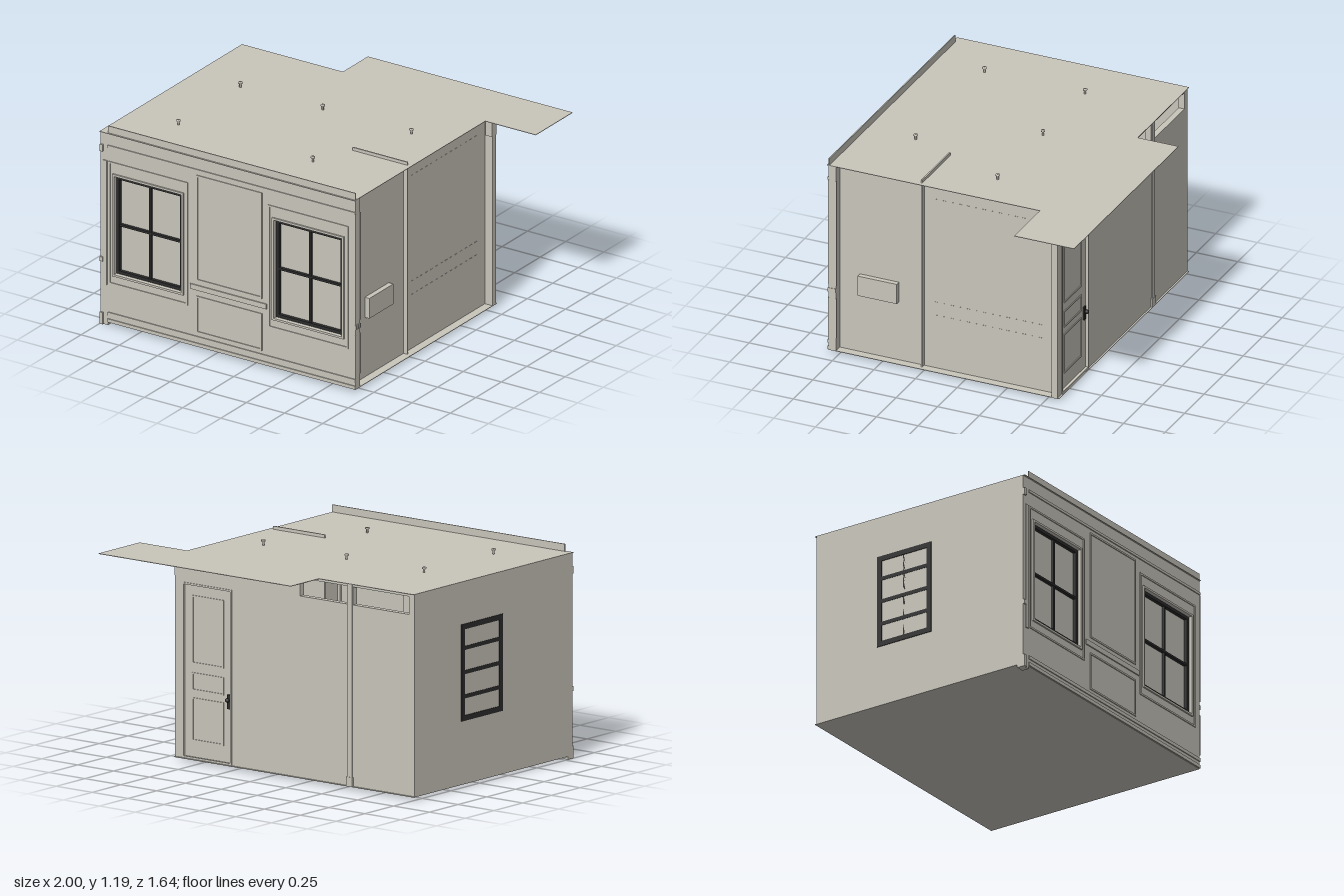
import * as THREE from 'three';

const plaster = new THREE.MeshStandardMaterial({ color: 0xc9c5bb, side: THREE.DoubleSide });
plaster.name = 'warm grey plaster';
const dark = new THREE.MeshStandardMaterial({ color: 0x2c2c2c });
dark.name = 'charcoal frame';

const ROOF = 1.147, FLOOR = 0.02;

// Box given by its minimum and maximum corners
function box(parent, name, mat, [x0, y0, z0], [x1, y1, z1]) {
  const mesh = new THREE.Mesh(new THREE.BoxGeometry(x1 - x0, y1 - y0, z1 - z0), mat);
  mesh.position.set((x0 + x1) / 2, (y0 + y1) / 2, (z0 + z1) / 2);
  mesh.name = name;
  parent.add(mesh);
  return mesh;
}

// Extruded wall in the xy plane with rectangular openings [x0, y0, x1, y1]
function wall(parent, name, [x0, y0, x1, y1], openings, z, depth) {
  const rect = (C, a, b, c, d) => {
    const p = new C();
    p.moveTo(a, b); p.lineTo(c, b); p.lineTo(c, d); p.lineTo(a, d); p.closePath();
    return p;
  };
  const shape = rect(THREE.Shape, x0, y0, x1, y1);
  openings.forEach(o => shape.holes.push(rect(THREE.Path, ...o)));
  const mesh = new THREE.Mesh(new THREE.ExtrudeGeometry(shape, { depth, bevelEnabled: false }), plaster);
  mesh.position.z = z;
  mesh.name = name;
  parent.add(mesh);
  return mesh;
}

// Four strips around the inside of a rectangle
function frame(parent, name, mat, [x0, y0, x1, y1], w, z0, z1) {
  const g = new THREE.Group();
  g.name = name;
  box(g, name + 'Bottom', mat, [x0, y0, z0], [x1, y0 + w, z1]);
  box(g, name + 'Top', mat, [x0, y1 - w, z0], [x1, y1, z1]);
  box(g, name + 'Left', mat, [x0, y0 + w, z0], [x0 + w, y1 - w, z1]);
  box(g, name + 'Right', mat, [x1 - w, y0 + w, z0], [x1, y1 - w, z1]);
  parent.add(g);
  return g;
}

// Glazed sash with a grid of bars, facing +z
function sash(parent, name, [x0, y0, x1, y1], cols, rows, border, bar, z0, z1) {
  const g = new THREE.Group();
  g.name = name;
  frame(g, 'sashFrame', dark, [x0, y0, x1, y1], border, z0, z1);
  for (let i = 1; i < cols; i++) {
    const x = x0 + (x1 - x0) * i / cols;
    box(g, 'uprightBar', dark, [x - bar / 2, y0, z0], [x + bar / 2, y1, z1 - 0.004]);
  }
  for (let j = 1; j < rows; j++) {
    const y = y0 + (y1 - y0) * j / rows;
    box(g, 'crossBar', dark, [x0, y - bar / 2, z0], [x1, y + bar / 2, z1 - 0.002]);
  }
  box(g, 'pane', plaster, [x0, y0, z0 - 0.004], [x1, y1, z0 + 0.002]);
  parent.add(g);
  return g;
}

function buildFront(model) {
  const g = new THREE.Group();
  g.name = 'frontWall';
  const windows = [[-0.905, 0.315, -0.465, 0.9], [0.14, 0.315, 0.585, 0.9]];

  // Thin facade plate rising above the roof, with a thicker wall behind
  wall(g, 'facadePlate', [-0.95, FLOOR, 0.67, 1.188], windows, 0.805, 0.006);
  wall(g, 'frontWallCore', [-0.95, FLOOR, 0.67, ROOF], windows, 0.765, 0.04);

  windows.forEach(([x0, y0, x1, y1]) => {
    sash(g, 'frontWindow', [x0 + 0.003, y0 + 0.003, x1 - 0.003, y1 - 0.003], 2, 2, 0.018, 0.013, 0.778, 0.8);
    frame(g, 'windowSurround', plaster, [x0 - 0.012, y0 - 0.012, x1 + 0.012, y1 + 0.012], 0.012, 0.811, 0.82);
    frame(g, 'outerSurround', plaster, [x0 - 0.04, 0.25, x1 + 0.04, 0.98], 0.01, 0.811, 0.816);
  });

  // Panels between the windows
  [[-0.37, 0.41, 0.06, 1.04], [-0.37, 0.1, 0.06, 0.32]].forEach(r =>
    frame(g, 'wallPanel', plaster, r, 0.01, 0.811, 0.816));

  // Horizontal mouldings
  [[1.06, 1.075], [0.06, 0.08], [FLOOR, 0.04]].forEach(([a, b]) =>
    box(g, 'moulding', plaster, [-0.95, a, 0.811], [0.67, b, 0.817]));
  box(g, 'middleRail', plaster, [-0.41, 0.355, 0.811], [0.09, 0.385, 0.818]);

  // Corner pilaster and its trim
  box(g, 'cornerPilaster', plaster, [-1, 0, 0.77], [-0.95, ROOF, 0.81]);
  box(g, 'pilasterPanel', plaster, [-0.98, 0.24, 0.81], [-0.955, 0.98, 0.816]);
  [[0, 0.07], [0.375, 0.4], [1.03, 1.07]].forEach(([a, b]) =>
    box(g, 'pilasterBand', plaster, [-1, a, 0.81], [-0.98, b, 0.82]));

  // Grooved panel edges on the return at the other corner
  [0.81, 0.765].forEach(z => [[0.1, 0.34], [0.42, 1.06]].forEach(([a, b]) =>
    box(g, 'returnBead', plaster, [0.668, a, z - 0.003], [0.673, b, z + 0.003])));
  [0.765, 0.785, 0.803].forEach(z =>
    box(g, 'returnBracket', plaster, [0.668, 0.375, z], [0.675, 0.4, z + 0.01]));
  model.add(g);
}

function buildBack(model) {
  const g = new THREE.Group();
  g.name = 'backWall';
  // Back wall with a doorway and two transom openings
  wall(g, 'backWallBody', [-1, FLOOR, 0.67, ROOF - 0.002],
    [[0.28, 0.03, 0.61, 0.99], [-0.96, 1.03, -0.57, 1.13], [-0.53, 1.03, -0.2, 1.13]], -0.565, 0.035);
  box(g, 'post', plaster, [-0.568, FLOOR, -0.573], [-0.535, ROOF - 0.002, -0.53]);
  box(g, 'postFoot', plaster, [-0.573, FLOOR, -0.576], [-0.53, 0.07, -0.565]);
  box(g, 'cornerCapital', plaster, [0.63, 1.03, -0.567], [0.672, ROOF - 0.002, -0.52]);

  // Door with raised panel borders and handle
  box(g, 'door', plaster, [0.28, 0.03, -0.552], [0.61, 0.99, -0.535]);
  [[0.12, 0.36], [0.4, 0.5], [0.55, 0.93]].forEach(([a, b]) =>
    frame(g, 'doorPanel', plaster, [0.34, a, 0.56, b], 0.008, -0.557, -0.552));
  frame(g, 'doorCasing', plaster, [0.272, 0.022, 0.618, 0.998], 0.01, -0.57, -0.56);
  box(g, 'doorHandlePlate', dark, [0.292, 0.33, -0.56], [0.312, 0.41, -0.552]);
  const knob = new THREE.Mesh(new THREE.SphereGeometry(0.012, 12, 8), dark);
  knob.position.set(0.302, 0.38, -0.57);
  knob.name = 'doorKnob';
  g.add(knob);
  model.add(g);
}

function buildSides(model) {
  const g = new THREE.Group();
  g.name = 'sideWalls';
  // Recessed wall with service box, partition and rows of small slots
  box(g, 'leftWall', plaster, [0.6, FLOOR, -0.53], [0.62, ROOF - 0.002, 0.77]);
  box(g, 'partition', plaster, [0.285, FLOOR, 0.258], [0.645, 1.165, 0.266]);
  box(g, 'serviceBox', plaster, [0.62, 0.375, 0.41], [0.65, 0.495, 0.645]);
  [0.34, 0.42, 1.05].forEach(y => {
    for (let i = 0; i < 14; i++) {
      const z = -0.45 + i * 0.048;
      box(g, 'wallSlot', plaster, [0.62, y, z], [0.622, y + 0.003, z + 0.02]);
    }
  });

  // Outer wall with a lattice window
  box(g, 'rightWall', plaster, [-1, FLOOR, -0.565], [-0.985, ROOF - 0.002, 0.77]);
  const win = sash(g, 'sideWindow', [-0.18, 0.37, 0.18, 0.91], 2, 4, 0.03, 0.022, 0, 0.006);
  win.rotation.y = -Math.PI / 2;
  win.position.set(-0.998, 0, 0.02);
  model.add(g);
}

function buildRoof(model) {
  const g = new THREE.Group();
  g.name = 'roof';
  // Thin slab with an overhang past the back corner; shape y is -z
  const outline = [[-1, 0.82], [0.67, 0.82], [0.67, -0.46], [1, -0.46], [1, -0.82],
    [-0.34, -0.82], [-0.34, -0.575], [-1, -0.575]].map(([x, z]) => new THREE.Vector2(x, -z));
  const slab = new THREE.Mesh(
    new THREE.ExtrudeGeometry(new THREE.Shape(outline), { depth: 0.003, bevelEnabled: false }), plaster);
  slab.rotation.x = -Math.PI / 2;
  slab.position.y = ROOF - 0.003;
  slab.name = 'roofSlab';
  g.add(slab);

  // Small flanged vents
  const profile = [[0, 0], [0.006, 0], [0.006, 0.018], [0.012, 0.022], [0.012, 0.03], [0, 0.03]]
    .map(p => new THREE.Vector2(...p));
  [[-0.69, -0.095], [-0.15, -0.095], [0.43, -0.095], [-0.69, 0.51], [0.19, 0.51]].forEach(([x, z]) => {
    const vent = new THREE.Mesh(new THREE.LatheGeometry(profile, 12), plaster);
    vent.position.set(x, ROOF, z);
    vent.name = 'roofVent';
    g.add(vent);
  });
  model.add(g);
}

export function createModel() {
  const model = new THREE.Group();
  model.name = 'room';
  box(model, 'floor', plaster, [-1, FLOOR - 0.003, -0.575], [0.67, FLOOR, 0.81]);
  buildFront(model);
  buildBack(model);
  buildSides(model);
  buildRoof(model);
  return model;
}
